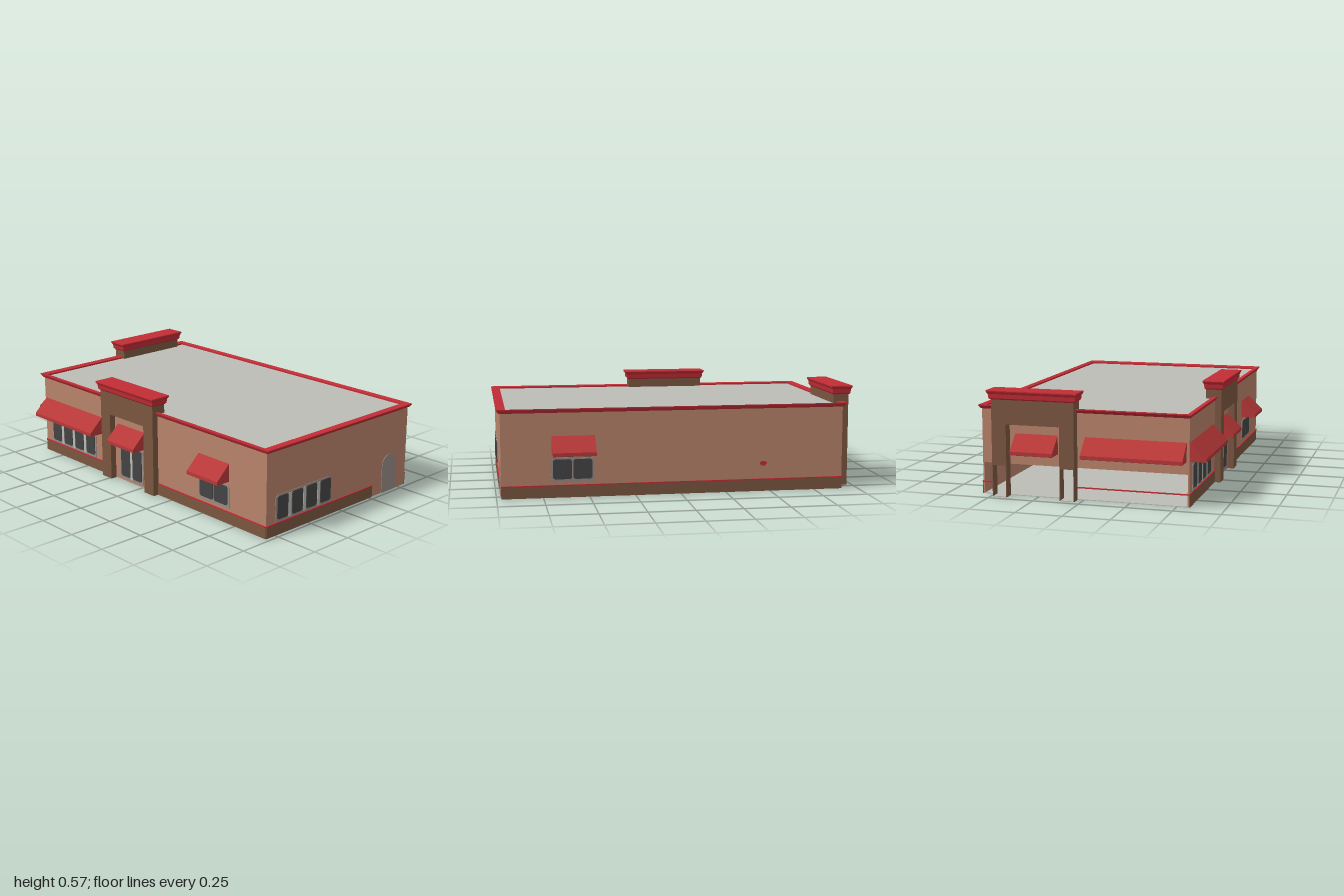
import * as THREE from 'three';

const mat = (name, color, side = THREE.FrontSide) => {
  const m = new THREE.MeshStandardMaterial({ color, side });
  m.name = name;
  return m;
};

export function createModel() {
  const root = new THREE.Group();
  root.name = 'shopBuilding';
  const wallM = mat('tan stucco', 0xb8836a);
  const brownM = mat('brown stone', 0x7a5640);
  const redM = mat('red trim', 0xc22c35);
  const awningM = mat('awning red', 0xb83838);
  const greyM = mat('pale grey', 0xbcbcb6, THREE.DoubleSide);
  const glassM = mat('dark glass', 0x444444, THREE.DoubleSide);
  const frameM = mat('grey frame', 0x968a86, THREE.DoubleSide);
  const slatM = mat('dark slats', 0x4f4744);

  const add = (parent, name, geo, m) => {
    const mesh = new THREE.Mesh(geo, m);
    mesh.name = name;
    parent.add(mesh);
    return mesh;
  };
  // box given by its limits
  const box = (parent, name, m, x0, x1, y0, y1, z0, z1) => {
    const b = add(parent, name, new THREE.BoxGeometry(x1 - x0, y1 - y0, z1 - z0), m);
    b.position.set((x0 + x1) / 2, (y0 + y1) / 2, (z0 + z1) / 2);
    return b;
  };
  // stack of rectangles [x0, x1, z0, z1, y] joined by flat bands, optional top cap
  const rectLoft = (levels, cap) => {
    const p = [];
    const ring = ([x0, x1, z0, z1, y]) => [[x0, y, z1], [x1, y, z1], [x1, y, z0], [x0, y, z0]];
    const quad = (a, b, c, d) => p.push(...a, ...b, ...c, ...a, ...c, ...d);
    for (let i = 0; i + 1 < levels.length; i++) {
      const lo = ring(levels[i]), hi = ring(levels[i + 1]);
      for (let k = 0; k < 4; k++) quad(lo[k], lo[(k + 1) % 4], hi[(k + 1) % 4], hi[k]);
    }
    if (cap) {
      quad(...ring(levels[levels.length - 1]));
      quad(...ring(levels[0]).reverse());
    }
    const g = new THREE.BufferGeometry();
    g.setAttribute('position', new THREE.Float32BufferAttribute(p, 3));
    g.computeVertexNormals();
    return g;
  };
  // thin plate with rounded corners, rTop and rBottom apart
  const plate = (parent, name, m, x0, x1, y0, y1, z, rTop, rBottom = rTop) => {
    const s = new THREE.Shape();
    s.moveTo(x0 + rBottom, y0);
    s.lineTo(x1 - rBottom, y0);
    if (rBottom) s.absarc(x1 - rBottom, y0 + rBottom, rBottom, -Math.PI / 2, 0);
    s.lineTo(x1, y1 - rTop);
    s.absarc(x1 - rTop, y1 - rTop, rTop, 0, Math.PI / 2);
    s.absarc(x0 + rTop, y1 - rTop, rTop, Math.PI / 2, Math.PI);
    s.lineTo(x0, y0 + rBottom);
    if (rBottom) s.absarc(x0 + rBottom, y0 + rBottom, rBottom, Math.PI, Math.PI * 1.5);
    const g = new THREE.ExtrudeGeometry(s, { depth: 0.003, bevelEnabled: false, curveSegments: 8 });
    add(parent, name, g, m).position.z = z;
  };

  // one local frame per facade: +z points outward
  const facade = (name, x, z, turn) => {
    const g = new THREE.Group();
    g.name = name;
    g.position.set(x, 0, z);
    g.rotation.y = turn;
    root.add(g);
    return g;
  };
  const L = -0.565, R = 0.562, B = -0.91, F = 0.975, H = 0.47;
  const front = facade('frontFacade', 0, F, 0);
  const right = facade('plusXFacade', R, 0, Math.PI / 2);   // local x = -z
  const left = facade('minusXFacade', L, 0, -Math.PI / 2);  // local x = z
  const back = facade('backFacade', 0, B, Math.PI);         // local x = -x

  // walls; the back wall is open at the bottom
  box(front, 'frontWall', wallM, L, R, 0, H, -0.008, 0);
  box(right, 'sideWall', wallM, -F, -B, 0, H, -0.008, 0);
  box(left, 'sideWall', wallM, B, F, 0, H, -0.008, 0);
  box(back, 'backWall', wallM, -R, -L, 0.17, H, -0.008, 0);

  // floor, roof and cornice
  box(root, 'floor', greyM, L, R, 0, 0.004, B, F);
  box(root, 'roof', greyM, -0.555, 0.55, 0.462, 0.47, -0.9, 0.95);
  add(root, 'cornice', rectLoft([
    [L, R, B, F, 0.46],
    [-0.57, 0.567, -0.918, 0.983, 0.463],
    [-0.578, 0.573, -0.934, 0.996, 0.478],
    [-0.578, 0.573, -0.934, 0.996, 0.483],
    [-0.55, 0.545, -0.897, 0.945, 0.479],
    [-0.55, 0.545, -0.897, 0.945, 0.465],
  ]), redM);

  // brown base with a red strip on top
  const skirt = (side, x0, x1, stripOnly) => {
    if (!stripOnly) box(side, 'baseBand', brownM, x0, x1, 0, 0.063, 0, 0.004);
    box(side, 'baseStrip', redM, x0, x1, 0.063, 0.069, -0.002, 0.006);
  };
  skirt(front, L, 0.272);
  skirt(right, -F, -B);
  skirt(left, B, -0.315);
  skirt(left, 0.14, F);
  skirt(back, -R, -0.485, true);
  skirt(back, -0.035, -L, true);

  // window row: rounded panes on a grey frame with pale mullions
  const windowRow = (side, cx, count, pitch, pane, y0, y1) => {
    const g = new THREE.Group();
    g.name = 'windowRow';
    side.add(g);
    const half = (count - 1) * pitch / 2 + pane / 2 + 0.012;
    plate(g, 'windowFrame', frameM, cx - half, cx + half, y0 - 0.014, y1 + 0.008, 0, 0.025, 0.005);
    for (let i = 0; i < count; i++) {
      const x = cx + (i - (count - 1) / 2) * pitch;
      plate(g, 'windowPane', glassM, x - pane / 2, x + pane / 2, y0, y1, 0.003, 0.014);
      if (i && pitch - pane > 0.015) {
        const m = x - pitch / 2;
        plate(g, 'mullion', greyM, m - 0.01, m + 0.01, y0 - 0.008, y1, 0.002, 0.004);
      }
    }
  };
  windowRow(front, -0.284, 4, 0.109, 0.08, 0.085, 0.212);
  windowRow(left, -0.63, 4, 0.109, 0.08, 0.085, 0.212);
  windowRow(left, 0.59, 2, 0.11, 0.102, 0.1, 0.208);
  windowRow(right, -0.592, 2, 0.11, 0.102, 0.1, 0.208);
  windowRow(left, -0.09, 2, 0.1, 0.08, 0.03, 0.215);

  // arched door and small wall badge
  plate(front, 'archedDoor', frameM, 0.354, 0.477, 0, 0.218, 0.001, 0.055, 0);
  const badge = add(right, 'wallBadge', new THREE.CircleGeometry(0.022, 6), redM);
  badge.scale.y = 0.65;
  badge.position.set(0.46, 0.155, 0.003);

  // sloped awning with a short valance and slatted underside
  const awning = (side, x0, x1, reach) => {
    const g = new THREE.Group();
    g.name = 'awning';
    side.add(g);
    const s = new THREE.Shape([[0, 0.335], [0, 0.236], [reach, 0.236], [reach, 0.255]]
      .map(([a, b]) => new THREE.Vector2(-a, b)));
    const geo = new THREE.ExtrudeGeometry(s, { depth: x1 - x0, bevelEnabled: false });
    geo.rotateY(Math.PI / 2).translate(x0, 0, 0);
    add(g, 'awningCanopy', geo, awningM);
    box(g, 'awningUnderside', slatM, x0 + 0.004, x1 - 0.004, 0.234, 0.238, 0, reach - 0.004);
  };
  awning(right, -0.703, -0.47, 0.085);
  awning(left, 0.47, 0.703, 0.085);
  awning(left, -0.9, -0.357, 0.085);
  awning(left, -0.207, 0.025, 0.085);
  awning(back, 0.01, 0.55, 0.09);
  awning(back, -0.375, -0.14, 0.09);

  // portal tower: two legs, lintel block and flared cap
  const tower = (side, name, cx, inner, outer, hollowLegs) => {
    const g = new THREE.Group();
    g.name = name;
    g.position.x = cx;
    side.add(g);
    const w = 0.227, leg = 0.08;
    box(g, 'towerTop', brownM, -w, w, 0.44, 0.53, inner, outer);
    box(g, 'towerLintel', brownM, -w, w, 0.39, 0.44, 0, outer);
    for (const s of [-1, 1]) {
      const a = Math.min(s * w, s * (w - leg)), b = a + leg;
      box(g, 'towerLeg', brownM, a, b, hollowLegs ? 0.17 : 0, 0.39, 0, outer);
      if (!hollowLegs) continue;
      // only the leg's side panels reach the ground
      box(g, 'legPanel', brownM, a, a + 0.004, 0, 0.17, 0, outer);
      box(g, 'legPanel', brownM, b - 0.004, b, 0, 0.17, 0, outer);
      box(g, 'legFloor', greyM, a, b, 0, 0.004, 0, outer);
    }
    const steps = [[0.002, 0.52], [0.01, 0.527], [0.013, 0.55], [0.02, 0.56], [0.022, 0.566], [0.02, 0.57]];
    add(g, 'towerCap', rectLoft(
      steps.map(([o, y]) => [-w - o, w + o, inner - o * 0.8, outer + o * 0.8, y]), true), redM);
  };
  tower(left, 'sideTower', -0.088, -0.05, 0.036, false);
  tower(back, 'backTower', -0.26, -0.03, 0.056, true);

  return root;
}
